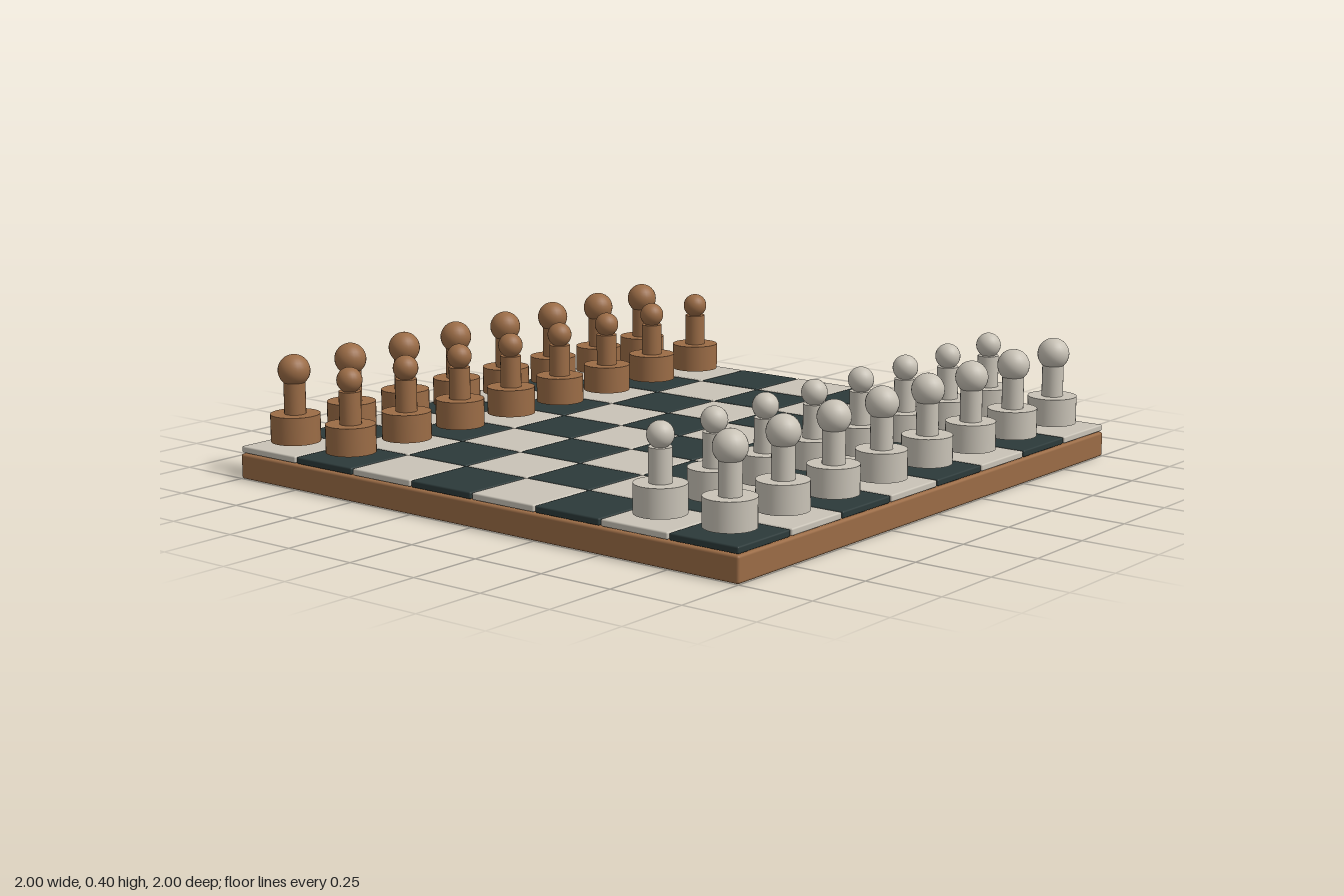
import * as THREE from 'three';
import { RoundedBoxGeometry } from 'three/addons/geometries/RoundedBoxGeometry.js';

const SIZE = 8;
const CELL = 2 / SIZE;

export function createModel() {
  const model = new THREE.Group();
  model.name = 'chessSet';

  const material = (name, color) => {
    const m = new THREE.MeshStandardMaterial({ color });
    m.name = name;
    return m;
  };
  const wood = material('wood', 0x9b6c46);
  const ivory = material('ivory', 0xc9c3b7);
  const darkGreen = material('darkGreen', 0x2c3a3a);

  const add = (parent, name, geometry, mat, x, y, z) => {
    const mesh = new THREE.Mesh(geometry, mat);
    mesh.name = name;
    mesh.position.set(x, y, z);
    parent.add(mesh);
  };
  const cellCentre = (i) => (i + 0.5) * CELL - 1;

  // Wooden board
  add(model, 'board', new RoundedBoxGeometry(2, 0.082, 2, 2, 0.008), wood, 0, 0.041, 0);

  // Alternating squares with narrow gaps between them
  const squares = new THREE.Group();
  squares.name = 'squares';
  model.add(squares);
  const squareGeometry = new RoundedBoxGeometry(0.244, 0.022, 0.244, 2, 0.005);
  for (let row = 0; row < SIZE; row++) {
    for (let col = 0; col < SIZE; col++) {
      const dark = (row + col) % 2 === 1;
      add(squares, dark ? 'darkSquare' : 'lightSquare', squareGeometry,
        dark ? darkGreen : ivory, cellCentre(col), 0.096, cellCentre(row));
    }
  }

  // Pieces: drum base, slim stem and ball head
  const baseGeometry = new THREE.CylinderGeometry(0.08, 0.08, 0.09, 32);
  const stemGeometry = new THREE.CylinderGeometry(0.035, 0.035, 0.11, 24);
  const pawnHead = new THREE.SphereGeometry(0.041, 24, 16);
  const largeHead = new THREE.SphereGeometry(0.052, 24, 16);

  const addRow = (row, name, headGeometry, mat) => {
    for (let col = 0; col < SIZE; col++) {
      const piece = new THREE.Group();
      piece.name = name;
      piece.position.set(cellCentre(col), 0.12, cellCentre(row));
      add(piece, 'base', baseGeometry, mat, 0, 0.045, 0);
      add(piece, 'stem', stemGeometry, mat, 0, 0.14, 0);
      add(piece, 'head', headGeometry, mat, 0, 0.23, 0);
      model.add(piece);
    }
  };
  addRow(0, 'brownBackPiece', largeHead, wood);
  addRow(1, 'brownPawn', pawnHead, wood);
  addRow(6, 'ivoryPawn', pawnHead, ivory);
  addRow(7, 'ivoryBackPiece', largeHead, ivory);

  return model;
}
